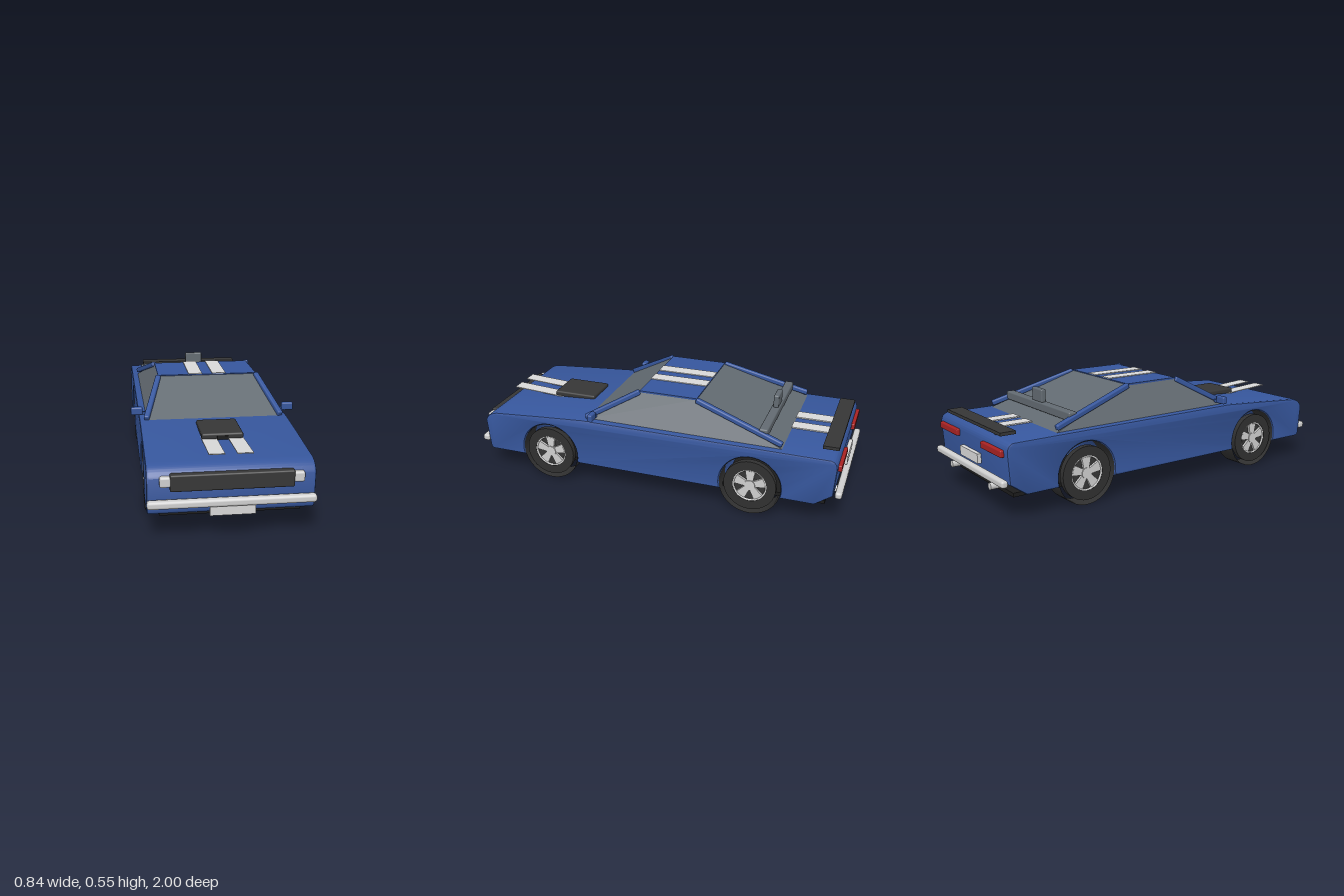
import * as THREE from 'three';
import { toCreasedNormals } from 'three/addons/utils/BufferGeometryUtils.js';
import { RoundedBoxGeometry } from 'three/addons/geometries/RoundedBoxGeometry.js';

const mat = (name, color, side = THREE.FrontSide) => {
  const m = new THREE.MeshStandardMaterial({ color, side });
  m.name = name;
  return m;
};

export function createModel() {
  const blue = mat('bodyBlue', 0x36569c);
  const glass = mat('smokedGlass', 0x626a71, THREE.DoubleSide);
  const dark = mat('darkTrim', 0x363636);
  const floorBlack = mat('floorBlack', 0x1c1c1c);
  const rubber = mat('rubber', 0x303030, THREE.DoubleSide);
  const white = mat('stripeWhite', 0xd8d8d8);
  const chrome = mat('chrome', 0xcfcfcf);
  const red = mat('lampRed', 0xa82222);

  const car = new THREE.Group();
  car.name = 'car';
  const add = (name, geo, material, x = 0, y = 0, z = 0, parent = car) => {
    const m = new THREE.Mesh(geo, material);
    m.name = name;
    m.position.set(x, y, z);
    parent.add(m);
    return m;
  };
  const box = (name, w, h, d, material, x, y, z) =>
    add(name, new THREE.BoxGeometry(w, h, d), material, x, y, z);
  const soft = (name, w, h, d, r, material, x, y, z) =>
    add(name, new RoundedBoxGeometry(w, h, d, 2, r), material, x, y, z);

  // Body: side profile (z, y) with wheel arches, extruded across the width
  const axles = [0.577, -0.54], wheelY = 0.16, archR = 0.161, floorY = 0.118;
  const dip = Math.asin((wheelY - floorY) / archR);
  const side = new THREE.Shape();
  side.moveTo(0.93, floorY);
  axles.forEach(z => side.absarc(z, wheelY, archR, -dip, Math.PI + dip, false));
  side.lineTo(-0.87, floorY);
  side.lineTo(-0.957, 0.18);
  side.lineTo(-0.967, 0.33);
  side.quadraticCurveTo(-0.965, 0.375, -0.93, 0.378);
  side.lineTo(0.38, 0.382);
  side.lineTo(0.62, 0.366);
  side.lineTo(0.89, 0.346);
  side.quadraticCurveTo(0.945, 0.34, 0.966, 0.295);
  side.lineTo(0.952, 0.14);
  side.quadraticCurveTo(0.95, 0.12, 0.93, floorY);
  const bevel = 0.012;
  const bodyGeo = new THREE.ExtrudeGeometry(side, {
    depth: 0.76 - 2 * bevel, bevelEnabled: true, bevelSize: bevel,
    bevelThickness: bevel, bevelOffset: -bevel, bevelSegments: 2, curveSegments: 20,
  });
  bodyGeo.translate(0, 0, -0.38 + bevel);
  bodyGeo.rotateY(-Math.PI / 2);
  add('body', toCreasedNormals(bodyGeo, 0.6), blue);
  box('floorPan', 0.645, 0.02, 1.83, floorBlack, 0, 0.11, 0);

  // Cabin glass: four flat panes between belt line and roof
  const v = (x, y, z) => new THREE.Vector3(x, y, z);
  const base = (s, z) => v(s * 0.345, 0.378, z);
  const top = (s, z) => v(s * 0.263, 0.542, z);
  const pane = (name, a, b, c, d) => {
    const g = new THREE.BufferGeometry().setFromPoints([a, b, c, a, c, d]);
    g.computeVertexNormals();
    add(name, g, glass);
  };
  const zf = 0.37, zr = -0.69, tf = 0.088, tr = -0.222;
  pane('windshield', base(-1, zf), base(1, zf), top(1, tf), top(-1, tf));
  pane('rearWindow', base(1, zr), base(-1, zr), top(-1, tr), top(1, tr));
  pane('leftWindows', base(1, zf), base(1, zr), top(1, tr), top(1, tf));
  pane('rightWindows', base(-1, zr), base(-1, zf), top(-1, tf), top(-1, tr));
  box('roof', 0.53, 0.012, tf - tr, blue, 0, 0.541, (tf + tr) / 2);

  // Pillars along the windshield and rear window edges
  const pillar = (name, a, b) => {
    const m = add(name, new RoundedBoxGeometry(0.028, 0.028, a.distanceTo(b) + 0.015, 2, 0.008), blue);
    m.position.copy(a).lerp(b, 0.5);
    m.lookAt(b);
  };
  for (const s of [1, -1]) {
    pillar('frontPillar', v(s * 0.343, 0.393, 0.36), v(s * 0.265, 0.538, 0.095));
    pillar('rearPillar', v(s * 0.338, 0.403, -0.68), v(s * 0.267, 0.538, -0.228));
    soft('mirror', 0.06, 0.04, 0.028, 0.008, blue, s * 0.391, 0.418, 0.312);
    box('mirrorArm', 0.04, 0.016, 0.016, blue, s * 0.36, 0.406, 0.312);

    // Stripes over hood, roof and trunk
    const hood = box('hoodStripe', 0.073, 0.004, 0.5, white, s * 0.064, 0.368, 0.678);
    hood.rotation.x = -0.06;
    box('roofStripe', 0.073, 0.004, 0.31, white, s * 0.064, 0.55, -0.067);
    box('trunkStripe', 0.073, 0.006, 0.2, white, s * 0.064, 0.384, -0.785);

    // Lamps and exhausts
    soft('headlight', 0.05, 0.048, 0.035, 0.01, chrome, s * 0.298, 0.282, 0.97);
    soft('tailLight', 0.212, 0.034, 0.025, 0.006, red, s * 0.241, 0.323, -0.972);
    const pipe = add('exhaust', new THREE.CylinderGeometry(0.017, 0.017, 0.09, 16), chrome, s * 0.22, 0.14, -0.94);
    pipe.rotation.x = Math.PI / 2;
  }

  // Hood scoop with its slot
  soft('hoodScoop', 0.2, 0.032, 0.24, 0.01, dark, 0, 0.38, 0.55);
  box('scoopSlot', 0.054, 0.018, 0.005, floorBlack, 0, 0.374, 0.67);

  // Front and rear trim
  soft('grille', 0.555, 0.078, 0.04, 0.008, dark, 0, 0.276, 0.968);
  soft('frontBumper', 0.76, 0.037, 0.04, 0.013, chrome, 0, 0.179, 0.978);
  soft('rearBumper', 0.76, 0.036, 0.035, 0.013, chrome, 0, 0.188, -0.982);
  box('frontPlate', 0.206, 0.044, 0.008, white, 0, 0.14, 0.982);
  box('rearPlate', 0.2, 0.048, 0.02, white, 0, 0.244, -0.975);
  box('spoiler', 0.6, 0.016, 0.08, dark, 0, 0.402, -0.918);
  for (const x of [-0.2, 0.2]) box('spoilerFoot', 0.02, 0.03, 0.03, dark, x, 0.385, -0.918);

  // Bar across the rear window with a small upright block
  soft('rearBar', 0.65, 0.045, 0.045, 0.008, glass, 0, 0.438, -0.585);
  soft('rearBlock', 0.1, 0.07, 0.028, 0.008, glass, 0, 0.492, -0.587);

  // Wheels: open tread band, sidewall ring, dark backing and five-spoke rim
  const ring = new THREE.Shape().absarc(0, 0, 0.136, 0, Math.PI * 2);
  ring.holes.push(new THREE.Path().absarc(0, 0, 0.088, 0, Math.PI * 2));
  const ringGeo = new THREE.ExtrudeGeometry(ring, { depth: 0.03, bevelEnabled: false, curveSegments: 20 });
  const lip = new THREE.TorusGeometry(0.086, 0.006, 8, 32);
  const tread = new THREE.CylinderGeometry(0.16, 0.16, 0.12, 40, 1, true).rotateX(Math.PI / 2);
  const disc = new THREE.CylinderGeometry(0.088, 0.088, 0.012, 32).rotateX(Math.PI / 2);
  const hub = new THREE.CylinderGeometry(0.028, 0.028, 0.024, 20).rotateX(Math.PI / 2);
  const spokeShape = new THREE.Shape([[-0.014, 0.015], [0.014, 0.015], [0.027, 0.084], [-0.027, 0.084]]
    .map(p => new THREE.Vector2(...p)));
  const spoke = new THREE.ExtrudeGeometry(spokeShape, { depth: 0.014, bevelEnabled: false });
  for (const s of [1, -1]) for (const z of axles) {
    const wheel = new THREE.Group();
    wheel.name = 'wheel';
    wheel.position.set(s * 0.313, wheelY, z);
    wheel.rotation.y = s * Math.PI / 2;
    add('tread', tread, rubber, 0, 0, 0, wheel);
    add('sidewall', ringGeo, rubber, 0, 0, 0.03, wheel);
    add('rimBacking', disc, dark, 0, 0, 0.036, wheel);
    add('rimLip', lip, chrome, 0, 0, 0.053, wheel);
    add('hub', hub, chrome, 0, 0, 0.047, wheel);
    for (let i = 0; i < 5; i++)
      add('spoke', spoke, chrome, 0, 0, 0.041, wheel).rotation.z = i * Math.PI * 2 / 5;
    car.add(wheel);
  }
  return car;
}
